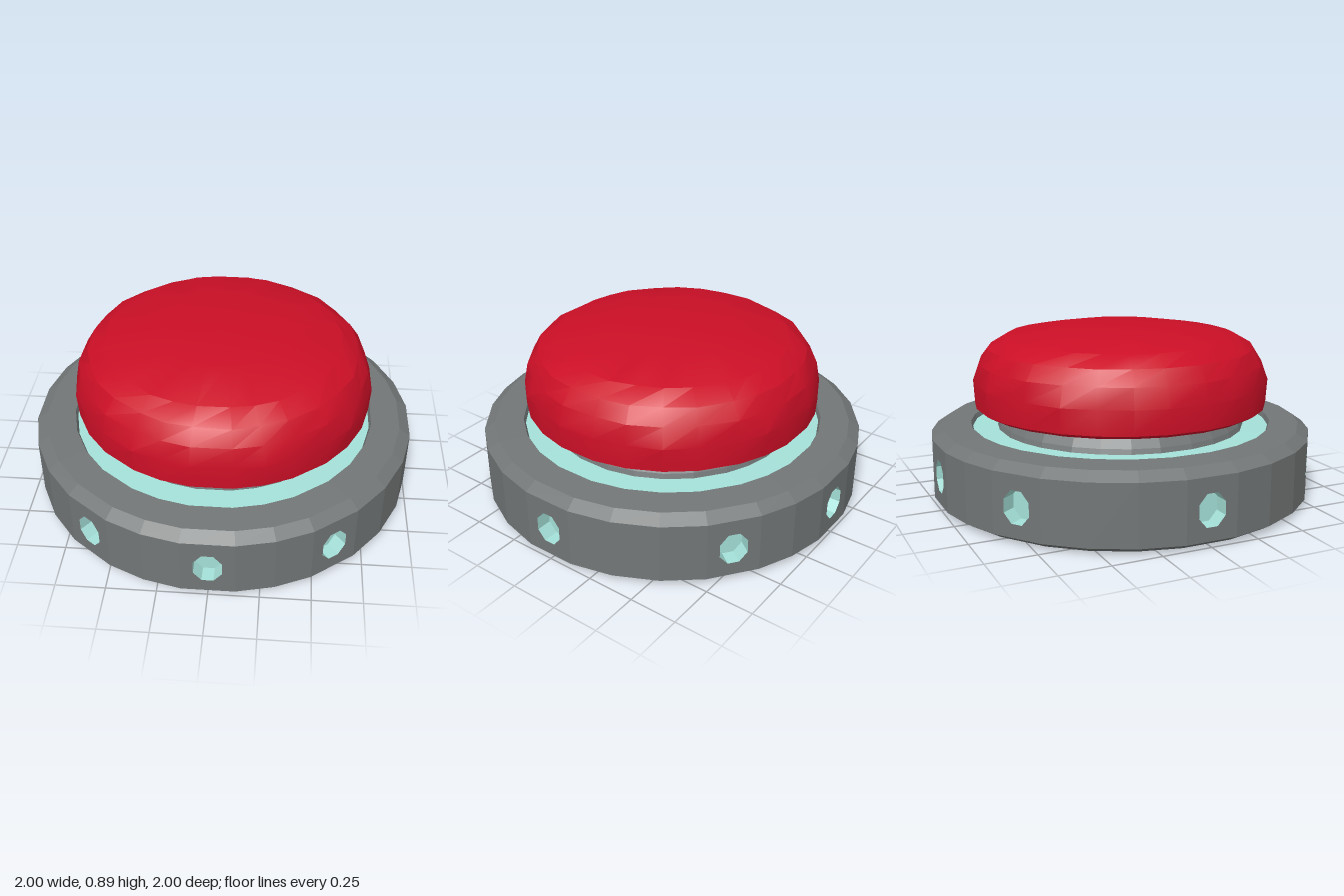
import * as THREE from 'three';
import { mergeGeometries, toCreasedNormals } from 'three/addons/utils/BufferGeometryUtils.js';

const rad = THREE.MathUtils.degToRad;

// Facet edges around the base: every light sits in the middle of a flat facet.
const quadrant = [7.5, 18.5, 29.5, 44.5, 57, 70, 82.5];
const mirrored = quadrant.map((a) => 180 - a).reverse();
const half = [...quadrant, ...mirrored];
const edges = [...half, ...half.map((a) => a + 180)].map(rad);
const lightAngles = [0, 37, 90, 143, 180, 217, 270, 323].map(rad);
const R = 1 / Math.cos(rad(7.5));
const LIGHT_Y = 0.18, LIGHT_RX = 0.075, LIGHT_RY = 0.088, DEPTH = 0.08;

// Sweeps a profile of [radius, y] around the facet edges, outward faces for an upward profile.
function sweep(profile, wobble = () => 0) {
  const pos = [];
  const n = edges.length;
  const point = (i, j) => {
    const [r, y] = profile[j];
    const a = edges[i % n];
    const k = r * (1 + wobble(i % n, j));
    return [Math.sin(a) * k, y, Math.cos(a) * k];
  };
  for (let i = 0; i < n; i++) {
    for (let j = 0; j < profile.length - 1; j++) {
      const a = point(i, j), b = point(i + 1, j), c = point(i + 1, j + 1), d = point(i, j + 1);
      if (profile[j][0] > 0) pos.push(...a, ...b, ...c);
      if (profile[j + 1][0] > 0) pos.push(...a, ...c, ...d);
    }
  }
  const g = new THREE.BufferGeometry();
  g.setAttribute('position', new THREE.Float32BufferAttribute(pos, 3));
  g.computeVertexNormals();
  return g;
}

// Flat side facets of the base, pierced where a light sits.
function sidePanels(y0, y1) {
  const panels = edges.map((a, i) => {
    const next = i + 1 < edges.length ? edges[i + 1] : edges[0] + Math.PI * 2;
    const mid = (a + next) / 2, d = (next - a) / 2;
    const w = R * Math.sin(d);
    const shape = new THREE.Shape([
      new THREE.Vector2(-w, y0), new THREE.Vector2(w, y0),
      new THREE.Vector2(w, y1), new THREE.Vector2(-w, y1),
    ]);
    const isLit = lightAngles.some((l) => Math.abs(Math.sin((l - mid) / 2)) < 0.01);
    if (isLit) {
      const ring = [];
      for (let k = 0; k < 8; k++) {
        const t = Math.PI / 8 + (k * Math.PI) / 4;
        ring.push(new THREE.Vector2(Math.cos(t) * LIGHT_RX, LIGHT_Y + Math.sin(t) * LIGHT_RY));
      }
      shape.holes.push(new THREE.Path(ring));
    }
    return new THREE.ShapeGeometry(shape).translate(0, 0, R * Math.cos(d)).rotateY(mid);
  });
  return mergeGeometries(panels);
}

// Recessed octagonal pocket with a flat back.
function lightPocket() {
  const wall = new THREE.CylinderGeometry(1, 1, DEPTH, 8, 1, true, Math.PI / 8).rotateX(Math.PI / 2);
  const back = new THREE.CircleGeometry(1, 8, Math.PI / 8).translate(0, 0, -DEPTH / 2);
  const g = mergeGeometries([wall, back]).scale(LIGHT_RX, LIGHT_RY, 1).toNonIndexed();
  g.computeVertexNormals();
  return g.translate(0, LIGHT_Y, 1 - DEPTH / 2);
}

export function createModel() {
  const grey = new THREE.MeshStandardMaterial({ color: 0x727676 });
  const red = new THREE.MeshStandardMaterial({ color: 0xcb0f26 });
  const teal = new THREE.MeshStandardMaterial({ color: 0xa4e0d8, side: THREE.DoubleSide });
  grey.name = 'housing grey';
  red.name = 'button red';
  teal.name = 'light teal';

  const model = new THREE.Group();
  model.name = 'pushButton';
  const add = (name, geometry, material, parent = model) => {
    const mesh = new THREE.Mesh(geometry, material);
    mesh.name = name;
    parent.add(mesh);
    return mesh;
  };

  // Housing: bevelled foot, pierced side wall, bevelled top rim
  const base = new THREE.Group();
  base.name = 'base';
  model.add(base);
  add('baseBottom', sweep([[0, 0], [0.96, 0], [R, 0.03]]), grey, base);
  add('baseSide', sidePanels(0.03, 0.34), grey, base);
  add('baseTop', sweep([[R, 0.34], [0.95, 0.38], [0.8, 0.385], [0.79, 0.36]]), grey, base);

  // Glowing ring in the groove, and the neck rising from it
  add('lightRing', sweep([[0.79, 0.36], [0.65, 0.365]]), teal);
  add('neck', sweep([[0.66, 0.36], [0.65, 0.39], [0.6, 0.475]]), grey);

  // Side lights
  const lights = new THREE.Group();
  lights.name = 'sideLights';
  model.add(lights);
  const pocket = lightPocket();
  lightAngles.forEach((a, i) => {
    add('sideLight' + (i + 1), pocket, teal, lights).rotation.y = a;
  });

  // Domed cap with a slightly uneven, hand-cut surface
  const capProfile = [
    [0, 0.475], [0.74, 0.465], [0.775, 0.485], [0.778, 0.61], [0.75, 0.71],
    [0.7, 0.785], [0.61, 0.84], [0.34, 0.885], [0, 0.895],
  ];
  const uneven = (i, j) => (j > 2 ? 0.008 * Math.sin(i * 2.4 + j * 1.7) : 0);
  add('buttonCap', toCreasedNormals(sweep(capProfile, uneven), 0.4), red);

  return model;
}
